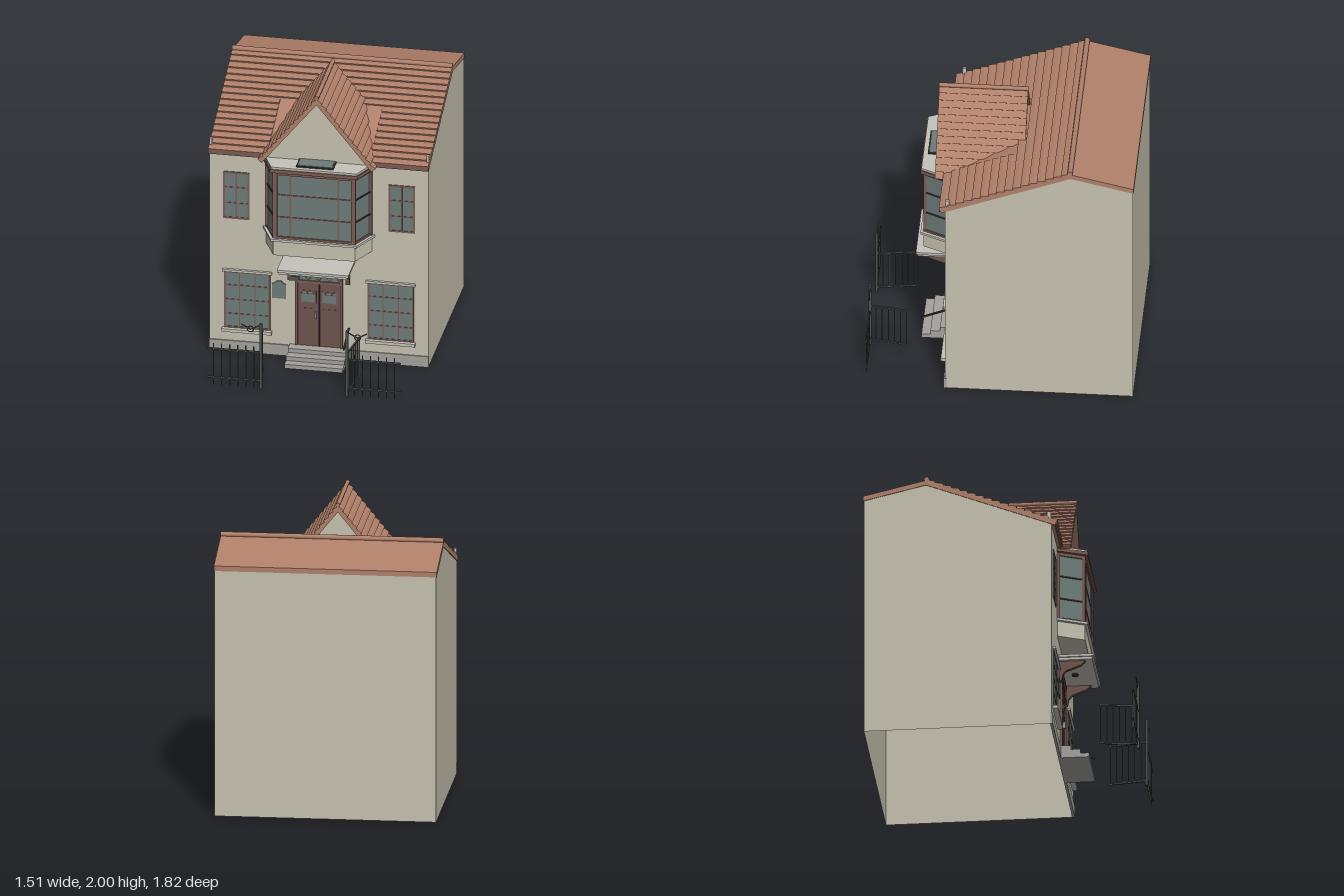
import * as THREE from 'three';

const mat = (name, color, side = THREE.FrontSide) => {
  const m = new THREE.MeshStandardMaterial({ color, side });
  m.name = name;
  return m;
};

export function createModel() {
  const wall = mat('plaster', 0xc7c2b0, THREE.DoubleSide);
  const tile = mat('roof tile', 0xb0806a);
  const brown = mat('brown timber', 0x7b5b53);
  const doorMat = mat('door timber', 0x6e544e);
  const glass = mat('glass', 0x6c7c7a);
  const stone = mat('stone', 0xa3a29e);
  const trim = mat('pale trim', 0xc4c2ba);
  const iron = mat('iron', 0x4a5452);
  const dark = mat('dark fittings', 0x3c302e);

  const root = new THREE.Group();
  root.name = 'house';
  let target = root;
  const group = (name, fn) => {
    const g = new THREE.Group();
    g.name = name;
    root.add(g);
    target = g;
    fn();
    target = root;
  };
  const add = (name, geo, m) => {
    const mesh = new THREE.Mesh(geo, m);
    mesh.name = name;
    target.add(mesh);
    return mesh;
  };
  // Box given by its limits on each axis
  const box = (name, x0, x1, y0, y1, z0, z1, m) =>
    add(name, new THREE.BoxGeometry(Math.abs(x1 - x0), y1 - y0, z1 - z0)
      .translate((x0 + x1) / 2, (y0 + y1) / 2, (z0 + z1) / 2), m);
  // Square bar between two points
  const bar = (name, a, b, w, m) => {
    const p = new THREE.Vector3(...a), q = new THREE.Vector3(...b);
    const mesh = add(name, new THREE.BoxGeometry(w, w, p.distanceTo(q)), m);
    mesh.position.copy(p).lerp(q, 0.5);
    mesh.lookAt(q);
    return mesh;
  };
  const shapeOf = pts => new THREE.Shape(pts.map(p => new THREE.Vector2(...p)));
  const extrude = (pts, depth) => new THREE.ExtrudeGeometry(shapeOf(pts), { depth, bevelEnabled: false });
  // Side profile of [z, y] points swept along x
  const sweepX = (name, pts, x0, x1, m) =>
    add(name, extrude(pts.map(([z, y]) => [-z, y]), x1 - x0).rotateY(Math.PI / 2).translate(x0, 0, 0), m);
  // Overlapping tile courses from eave a to ridge b, with a flat underside
  const courses = (a, b, n, step, thick, from = 0) => {
    const dx = b[0] - a[0], dy = b[1] - a[1], len = Math.hypot(dx, dy);
    let nx = -dy / len, ny = dx / len;
    if (ny < 0) { nx = -nx; ny = -ny; }
    const at = (t, o) => [a[0] + dx * t + nx * o, a[1] + dy * t + ny * o];
    const pts = [at(from / n, -thick)];
    for (let i = from; i < n; i++) pts.push(at(i / n, step), at((i + 0.45) / n, step * 0.8), at((i + 1) / n, 0));
    pts.push(at(1, -thick));
    return pts;
  };

  const F = 0.365, B = -0.905;

  // Hollow body, open underneath
  group('walls', () => {
    add('frontWall', new THREE.PlaneGeometry(1.5, 1.48).translate(0, 0.74, F), wall);
    add('backWall', new THREE.PlaneGeometry(1.5, 1.715).rotateY(Math.PI).translate(0, 0.8575, B), wall);
    for (const s of [-1, 1]) {
      const side = shapeOf([[-F, 0], [-B, 0], [-B, 1.715], [0.48, 1.82], [-F, 1.485]]);
      add('sideWall', new THREE.ShapeGeometry(side).rotateY(Math.PI / 2).translate(s * 0.75, 0, 0), wall);
    }
    box('plinth', -0.752, 0.752, 0, 0.08, 0.355, 0.373, stone);
  });

  // Main roof
  group('mainRoof', () => {
    const eave = [0.4, 1.505], ridge = [-0.48, 1.845];
    for (const s of [-1, 1]) {
      const [x0, x1] = s < 0 ? [-0.755, -0.35] : [0.35, 0.755];
      sweepX('frontTiles', courses(eave, ridge, 16, 0.012, 0.035), x0, x1, tile);
      box('fascia', s * 0.385, s * 0.753, 1.478, 1.512, 0.385, 0.403, brown);
      box('eavePost', s * 0.735, s * 0.752, 1.5, 1.575, 0.335, 0.36, trim);
    }
    sweepX('upperTiles', courses(eave, ridge, 16, 0.012, 0.035, 9), -0.35, 0.35, tile);
    sweepX('valleySlope', [[0.365, 1.483], [0.365, 1.52], [-0.12, 1.707], [-0.12, 1.67]], -0.35, 0.35, tile);
    sweepX('backSlope', [[-0.48, 1.81], [-0.48, 1.845], [-0.91, 1.745], [-0.91, 1.71]], -0.755, 0.755, tile);
    add('ridgeRoll', new THREE.CylinderGeometry(0.018, 0.018, 1.51, 10).rotateZ(Math.PI / 2)
      .translate(0, 1.852, -0.48), tile);
  });

  // Front gable with its own tiled roof
  group('gable', () => {
    for (const s of [-1, 1]) {
      add('gableTiles', extrude(courses([s * 0.395, 1.485], [0, 1.975], 13, 0.011, 0.025), 0.6)
        .translate(0, 0, -0.14), tile);
    }
    add('gableRidge', new THREE.CylinderGeometry(0.015, 0.015, 0.604, 10).rotateX(Math.PI / 2)
      .translate(0, 1.985, 0.16), tile);
    add('gableWall', extrude([[-0.375, 1.475], [0.375, 1.475], [0, 1.945]], 0.045).translate(0, 0, F), wall);
  });

  // Bay window
  const prism = (name, back, front, z, y0, y1, m) =>
    add(name, extrude([[-back, -0.36], [-front, -z], [front, -z], [back, -0.36]].reverse(), y1 - y0)
      .rotateX(-Math.PI / 2).translate(0, y0, 0), m);
  group('bayWindow', () => {
    prism('bayBase', 0.365, 0.28, 0.545, 0.83, 0.94, wall);
    prism('baySill', 0.387, 0.295, 0.565, 0.94, 0.957, trim);
    prism('bayGlass', 0.358, 0.274, 0.537, 0.957, 1.45, glass);
    prism('bottomFrame', 0.367, 0.281, 0.547, 0.957, 0.972, brown);
    prism('topFrame', 0.367, 0.281, 0.547, 1.43, 1.455, brown);
    prism('bayCornice', 0.387, 0.3, 0.565, 1.452, 1.477, brown);
    prism('bayRoof', 0.38, 0.292, 0.558, 1.477, 1.492, trim);
    const yA = 0.957, yB = 1.45;
    for (const s of [-1, 1]) {
      box('frontPost', s * 0.252, s * 0.28, yA, yB, 0.52, 0.547, brown);
      bar('cornerPost', [s * 0.273, yA, 0.535], [s * 0.273, yB, 0.535], 0.022, brown);
      bar('wallPost', [s * 0.355, yA, 0.372], [s * 0.355, yB, 0.372], 0.022, brown);
      box('mullion', s * 0.164 - 0.005, s * 0.164 + 0.005, yA, yB, 0.53, 0.543, brown);
      for (const y of [1.115, 1.28]) bar('sideRail', [s * 0.358, y, 0.365], [s * 0.275, y, 0.538], 0.01, dark);
    }
    for (const y of [1.115, 1.28]) box('rail', -0.27, 0.27, y - 0.004, y + 0.004, 0.53, 0.543, brown);
    box('skylightFrame', -0.128, 0.128, 1.49, 1.5, 0.41, 0.528, dark);
    box('skylightGlass', -0.116, 0.116, 1.498, 1.503, 0.41, 0.516, glass);
  });

  // Flat casement windows, visible from inside too
  const casement = (name, x0, x1, y0, y1, cols, rows) => group(name, () => {
    const w = 0.013, z = 0.371;
    box('pane', x0, x1, y0, y1, 0.36, 0.367, glass);
    for (const x of [x0, x1 - w]) box('stile', x, x + w, y0, y1, 0.358, z, brown);
    for (const y of [y0, y1 - w]) box('frameRail', x0, x1, y, y + w, 0.358, z, brown);
    for (let i = 1; i < cols; i++) {
      const x = x0 + (x1 - x0) * i / cols;
      box('verticalBar', x - 0.004, x + 0.004, y0, y1, F, 0.37, brown);
    }
    for (let j = 1; j < rows; j++) {
      const y = y0 + (y1 - y0) * j / rows;
      box('crossBar', x0, x1, y - 0.004, y + 0.004, F, 0.37, brown);
    }
  });
  for (const s of [-1, 1]) {
    const u = s * 0.567, l = s * 0.492;
    casement('upperWindow', u - 0.09, u + 0.09, 0.99, 1.34, 2, 3);
    casement('lowerWindow', l - 0.158, l + 0.158, 0.175, 0.6, 3, 4);
    box('windowSill', l - 0.17, l + 0.17, 0.155, 0.177, F, 0.4, trim);
    box('windowLintel', l - 0.17, l + 0.17, 0.597, 0.614, F, 0.385, trim);
  }

  // Double door with latticed transom
  group('frontDoor', () => {
    box('doorLeaves', -0.155, 0.155, 0.09, 0.565, 0.357, 0.37, doorMat);
    box('transomGlass', -0.15, 0.15, 0.565, 0.67, 0.357, 0.369, glass);
    box('doorHead', -0.163, 0.163, 0.662, 0.682, 0.357, 0.38, brown);
    box('transomBeam', -0.155, 0.155, 0.557, 0.577, 0.357, 0.378, brown);
    box('centreStrip', -0.006, 0.006, 0.09, 0.56, F, 0.376, dark);
    for (const s of [-1, 1]) {
      box('doorPost', s * 0.145, s * 0.163, 0.09, 0.68, 0.357, 0.38, brown);
      box('lightFrame', s * 0.018, s * 0.127, 0.41, 0.5, F, 0.372, brown);
      box('doorLight', s * 0.026, s * 0.119, 0.418, 0.492, 0.358, 0.374, glass);
      box('lightBar', s * 0.02, s * 0.124, 0.476, 0.482, 0.37, 0.376, brown);
      box('doorPanel', s * 0.028, s * 0.125, 0.13, 0.37, F, 0.372, doorMat);
    }
    for (let i = 0; i < 4; i++) {
      const x0 = -0.145 + i * 0.0725, x1 = x0 + 0.0725;
      bar('lattice', [x0, 0.577, 0.369], [x1, 0.662, 0.369], 0.006, brown);
      bar('lattice', [x0, 0.662, 0.369], [x1, 0.577, 0.369], 0.006, brown);
    }
    box('doorHandle', -0.028, -0.016, 0.3, 0.345, 0.37, 0.388, stone);
  });

  // Canopy over the door on curved brackets
  group('canopy', () => {
    box('canopySlab', -0.235, 0.235, 0.71, 0.73, F, 0.588, trim);
    box('canopyTop', -0.245, 0.245, 0.728, 0.746, F, 0.6, trim);
    const bracket = [[F, 0.57], [0.38, 0.57], [0.388, 0.615], [0.41, 0.642], [0.46, 0.66], [0.51, 0.68], [0.54, 0.71], [F, 0.71]];
    for (const x of [-0.198, 0.198]) {
      sweepX('bracket', bracket, x - 0.014, x + 0.014, doorMat);
    }
    add('porchLamp', new THREE.CylinderGeometry(0.022, 0.022, 0.012, 12).translate(0, 0.704, 0.45), dark);
    box('doorbell', -0.185, -0.135, 0.572, 0.605, F, 0.385, iron);
  });

  // Wall plaque with shouldered top
  add('plaque', extrude([[-0.322, 0.425], [-0.225, 0.425], [-0.225, 0.53], [-0.245, 0.54], [-0.26, 0.555], [-0.287, 0.555],
    [-0.302, 0.54], [-0.322, 0.53]], 0.008).translate(0, 0, F), glass);

  // Entrance steps and handrail
  group('steps', () => {
    [0.565, 0.505, 0.44].forEach((z, i) => box('step', -0.2, 0.2, i * 0.03, i * 0.03 + 0.03, F, z, stone));
    bar('handrail', [0.207, 0.175, 0.565], [0.207, 0.248, 0.39], 0.011, dark);
    bar('railMount', [0.207, 0.24, 0.41], [0.207, 0.24, F], 0.008, dark);
  });

  // Front railings with open gates and post scrolls
  for (const s of [-1, 1]) group('railings', () => {
    const X = s * 0.295, Z = 0.905;
    box('gatePost', X - 0.009, X + 0.009, 0, 0.485, Z - 0.009, Z + 0.009, iron);
    for (const y of [0.06, 0.272]) bar('fenceRail', [X, y, Z], [s * 0.662, y, Z], 0.01, iron);
    for (let i = 0; i < 6; i++) {
      const x = s * (0.345 + i * 0.055);
      bar('fenceBar', [x, 0.005, Z], [x, 0.31, Z], 0.007, iron);
    }
    const gate = t => [X + s * 0.038 * t, Z - 0.26 * t];
    for (const y of [0.035, 0.318]) {
      const [x, z] = gate(1);
      bar('gateRail', [X, y, Z], [x, y, z], 0.01, iron);
    }
    for (let i = 1; i <= 6; i++) {
      const [x, z] = gate(i * 0.16);
      bar('gateBar', [x, 0.035, z], [x, 0.318, z], 0.007, iron);
    }
    add('scrollRing', new THREE.TorusGeometry(0.021, 0.004, 6, 16).translate(s * 0.367, 0.44, Z), iron);
    bar('scrollArm', [X, 0.475, Z], [s * 0.367, 0.437, Z], 0.007, iron);
    bar('scrollTip', [s * 0.367, 0.437, Z], [s * 0.43, 0.473, Z], 0.007, iron);
  });

  return root;
}
